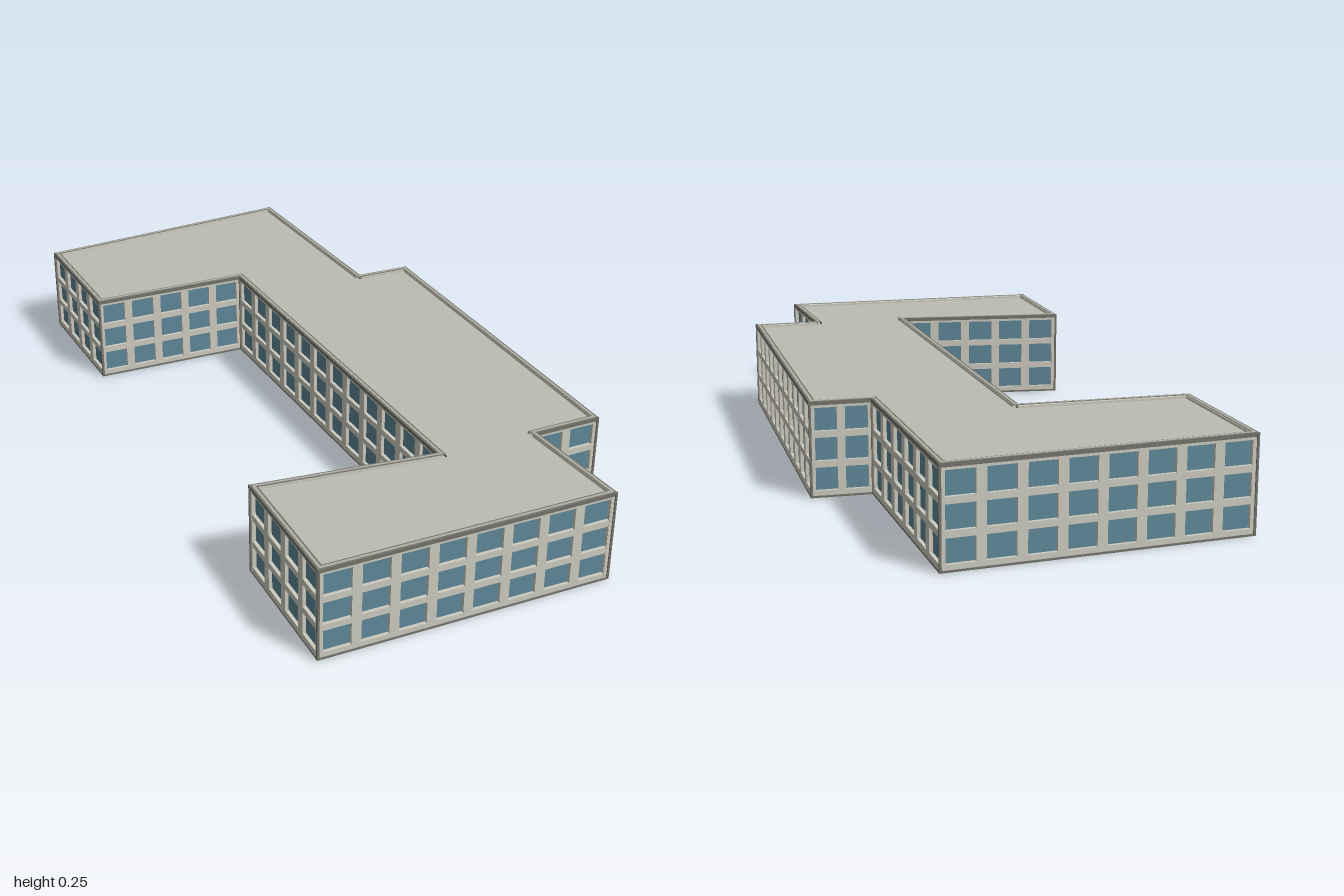
import * as THREE from 'three';

const mat = (name, color, side = THREE.FrontSide) => {
  const m = new THREE.MeshStandardMaterial({ color, side });
  m.name = name;
  return m;
};

// Footprint corners (x, z), clockwise seen from above
const PLAN = [
  [-0.998, -0.275], [-0.57, -0.915], [-0.07, -0.55], [0.03, -0.67],
  [0.845, -0.02], [0.73, 0.125], [0.993, 0.31], [0.5, 0.913],
  [0.2, 0.67], [0.545, 0.33], [-0.395, -0.38], [-0.68, -0.035],
].map(([x, z]) => new THREE.Vector2(x, z));

const HEIGHT = 0.25, THICK = 0.012, BAY = 0.097, FLOORS = 3;

// Footprint moved inwards by d with mitred corners, as shape points (x, -z)
function inset(d) {
  return PLAN.map((p, i) => {
    const a = PLAN[(i + PLAN.length - 1) % PLAN.length];
    const b = PLAN[(i + 1) % PLAN.length];
    const u = p.clone().sub(a).normalize(), v = b.clone().sub(p).normalize();
    const n1 = new THREE.Vector2(-u.y, u.x), n2 = new THREE.Vector2(-v.y, v.x);
    const m = n1.clone().add(n2).multiplyScalar(d / (1 + n1.dot(n2)));
    return new THREE.Vector2(p.x + m.x, -(p.y + m.y));
  });
}

// Flat band that follows the footprint between two insets
function ring(name, outer, inner, y, h, material) {
  const shape = new THREE.Shape(inset(outer));
  shape.holes.push(new THREE.Path(inset(inner)));
  const g = new THREE.ExtrudeGeometry(shape, { depth: h, bevelEnabled: false });
  g.rotateX(-Math.PI / 2).translate(0, y, 0);
  const mesh = new THREE.Mesh(g, material);
  mesh.name = name;
  return mesh;
}

function rectPath(Type, x, y, w, h) {
  return new Type([[x, y], [x + w, y], [x + w, y + h], [x, y + h]]
    .map(([px, py]) => new THREE.Vector2(px, py)));
}

// One facade: a wall pierced by a grid of windows, with glass set back in it
function facade(a, b, wallMat, glassMat) {
  const group = new THREE.Group();
  group.name = 'facade';
  const length = a.distanceTo(b);
  const count = Math.max(1, Math.round(length / BAY));
  const bay = length / count, w = bay * 0.74;

  const shape = rectPath(THREE.Shape, 0, 0, length, HEIGHT - 0.004);
  for (let i = 0; i < count; i++) {
    for (let f = 0; f < FLOORS; f++) {
      shape.holes.push(rectPath(THREE.Path, i * bay + (bay - w) / 2, 0.018 + f * 0.077, w, 0.06));
    }
  }
  const wallGeo = new THREE.ExtrudeGeometry(shape, { depth: THICK, bevelEnabled: false });
  const wall = new THREE.Mesh(wallGeo.translate(0, 0, -THICK), wallMat);
  wall.name = 'wall';

  const glassGeo = new THREE.PlaneGeometry(length - 0.02, 0.225);
  const glass = new THREE.Mesh(glassGeo.translate(length / 2, 0.125, -0.009), glassMat);
  glass.name = 'windowGlass';

  group.add(wall, glass);
  group.position.set(b.x, 0, b.y);
  group.rotation.y = Math.atan2(b.y - a.y, a.x - b.x);
  return group;
}

export function createModel() {
  const wallMat = mat('wall', 0xcdcbbf, THREE.DoubleSide);
  const glassMat = mat('glass', 0x5f8798, THREE.DoubleSide);
  const roofMat = mat('roof', 0xbcbcb2, THREE.DoubleSide);
  const trimMat = mat('trim', 0x74746c);
  const copingMat = mat('coping', 0xb0b0a6);

  const model = new THREE.Group();
  model.name = 'building';

  // Facades and corner strips
  PLAN.forEach((p, i) => {
    const next = PLAN[(i + 1) % PLAN.length];
    model.add(facade(p, next, wallMat, glassMat));
    const post = new THREE.Mesh(new THREE.BoxGeometry(0.006, HEIGHT - 0.002, 0.006), trimMat);
    post.name = 'cornerStrip';
    post.position.set(p.x, HEIGHT / 2, p.y);
    post.rotation.y = Math.atan2(p.y - next.y, next.x - p.x);
    model.add(post);
  });

  // Roof, sunk below the parapet; the underside of the building is open
  const roofGeo = new THREE.ShapeGeometry(new THREE.Shape(inset(0.008)));
  const roof = new THREE.Mesh(roofGeo.rotateX(-Math.PI / 2).translate(0, 0.24, 0), roofMat);
  roof.name = 'roof';
  model.add(roof);

  // Parapet edge, coping and base line
  model.add(ring('parapetEdge', -0.002, 0.015, 0.239, 0.01, trimMat));
  model.add(ring('coping', 0.003, 0.01, 0.2485, 0.0015, copingMat));
  model.add(ring('baseLine', -0.002, THICK, 0, 0.005, trimMat));

  return model;
}
